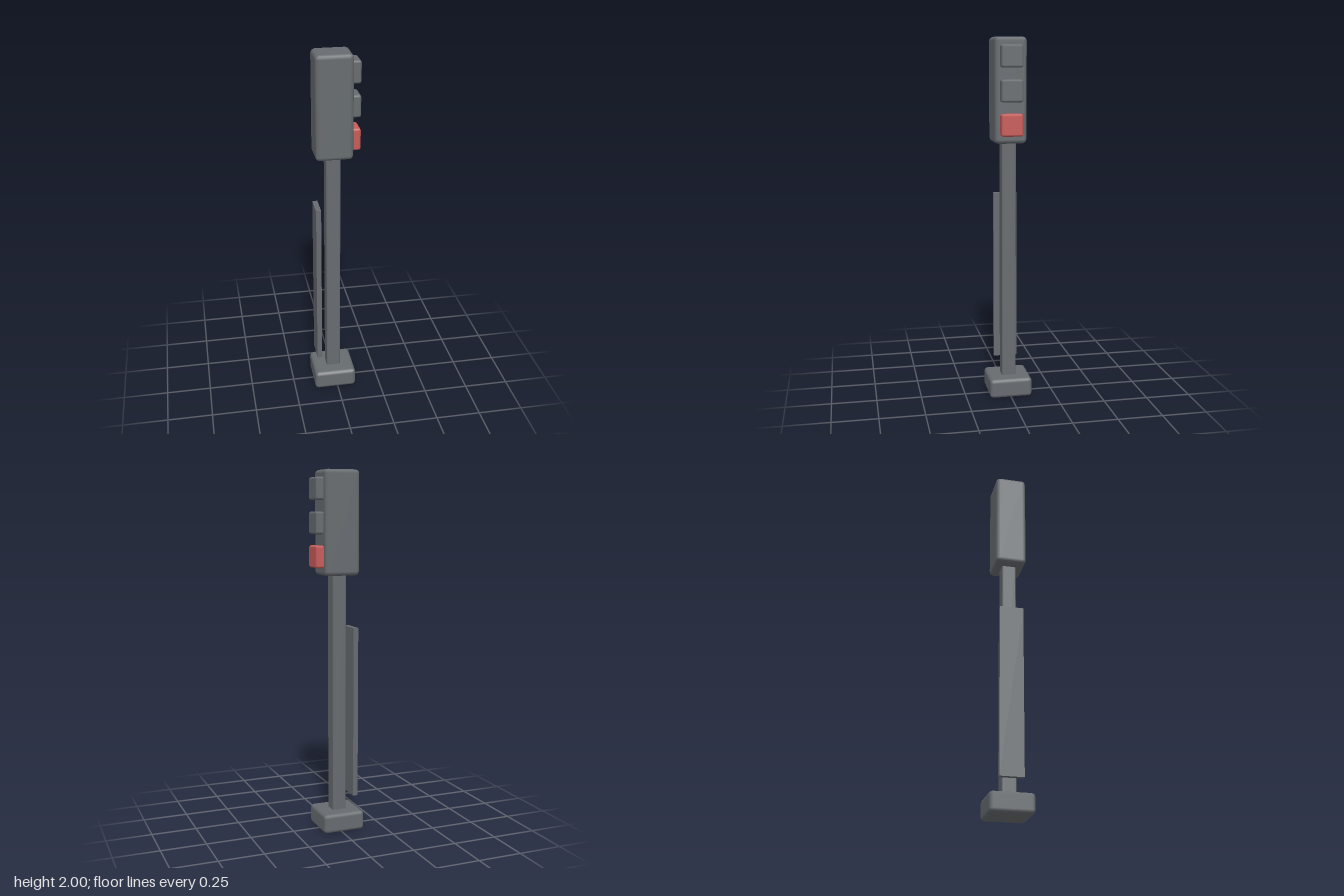
import * as THREE from 'three';
import { RoundedBoxGeometry } from 'three/addons/geometries/RoundedBoxGeometry.js';

const grey = new THREE.MeshStandardMaterial({ color: 0x676c70 });
grey.name = 'grey metal';
const red = new THREE.MeshStandardMaterial({ color: 0xc85c5a });
red.name = 'red lamp';

// Softened box given by its x and y limits and its depth, centred on z = 0
function block(name, x0, x1, y0, y1, depth, radius, material = grey) {
  const geometry = radius
    ? new RoundedBoxGeometry(x1 - x0, y1 - y0, depth, 1, radius)
    : new THREE.BoxGeometry(x1 - x0, y1 - y0, depth);
  const mesh = new THREE.Mesh(geometry, material);
  mesh.name = name;
  mesh.position.set((x0 + x1) / 2, (y0 + y1) / 2, 0);
  return mesh;
}

export function createModel() {
  const group = new THREE.Group();
  group.name = 'trafficLight';

  // Foot, post and the upright plate behind the post
  group.add(block('base', -0.133, 0.107, 0, 0.108, 0.24, 0.02));
  group.add(block('pole', -0.053, 0.027, 0.06, 1.5, 0.08, 0.008));
  group.add(block('backPlate', -0.113, -0.085, 0.187, 1.145, 0.132, 0));

  // Signal head
  group.add(block('housing', -0.114, 0.088, 1.435, 2, 0.176, 0.022));

  // Three square lamps on the +x face, the lowest one lit red
  ['lowerLamp', 'middleLamp', 'upperLamp'].forEach((name, i) => {
    const y = 1.477 + i * 0.181;
    group.add(block(name, 0.04, 0.131, y, y + 0.12, 0.12, 0.012, i === 0 ? red : grey));
  });

  return group;
}
